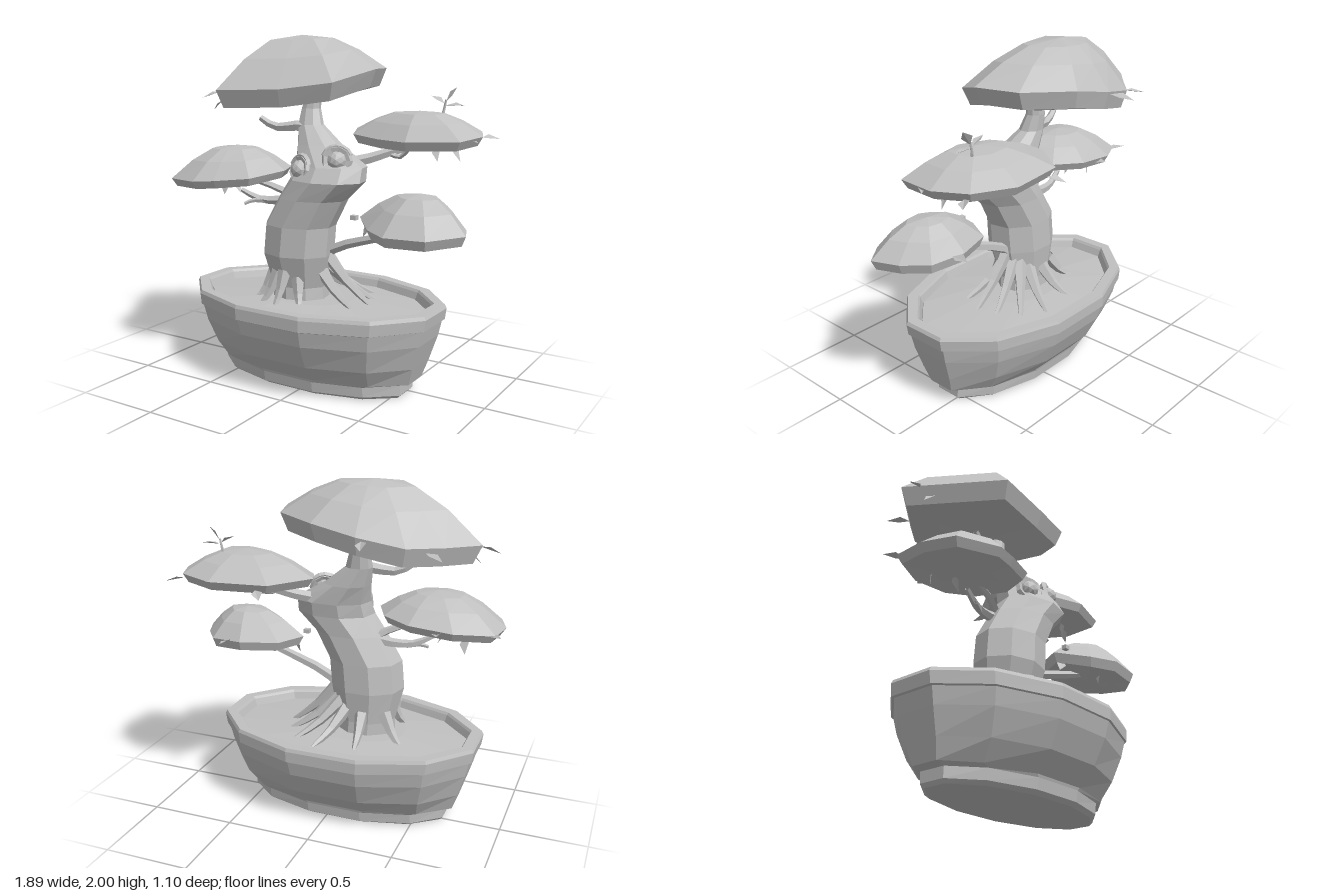
import * as THREE from 'three';

const grey = new THREE.MeshStandardMaterial({ color: 0xc0c0c0, flatShading: true, side: THREE.DoubleSide });
grey.name = 'plain grey';

function add(group, name, geometry) {
  const mesh = new THREE.Mesh(geometry, grey);
  mesh.name = name;
  group.add(mesh);
  return mesh;
}

// Skin through rings of equal length, listed from bottom to top, with closed ends
function loft(rings) {
  const n = rings[0].length, pos = rings.flat(2), index = [];
  for (let k = 0; k < rings.length - 1; k++) {
    for (let i = 0; i < n; i++) {
      const a = k * n + i, b = k * n + (i + 1) % n;
      index.push(a, a + n, b, b, a + n, b + n);
    }
  }
  const top = (rings.length - 1) * n;
  for (let i = 1; i < n - 1; i++) index.push(0, i, i + 1, top, top + i + 1, top + i);
  const g = new THREE.BufferGeometry();
  g.setAttribute('position', new THREE.Float32BufferAttribute(pos, 3));
  g.setIndex(index);
  g.computeVertexNormals();
  return g;
}

function ellipse(x, y, z, rx, rz, n, turn) {
  return Array.from({ length: n }, (_, i) => {
    const a = turn + i / n * Math.PI * 2;
    return [x + rx * Math.cos(a), y, z + rz * Math.sin(a)];
  });
}

// Tapered limb along a few points
function limb(points, r0, r1, sides = 5) {
  const curve = new THREE.CatmullRomCurve3(points.map(p => new THREE.Vector3(...p)));
  const segs = (points.length - 1) * 2;
  const g = new THREE.TubeGeometry(curve, segs, 1, sides);
  const p = g.attributes.position, v = new THREE.Vector3();
  for (let i = 0; i < p.count; i++) {
    const t = Math.floor(i / (sides + 1)) / segs, c = curve.getPointAt(t);
    v.fromBufferAttribute(p, i).sub(c).multiplyScalar(r0 + (r1 - r0) * t).add(c);
    p.setXYZ(i, v.x, v.y, v.z);
  }
  return g;
}

// Domed leaf pad: faceted crown above the rim, shallow inset underside
function pad(rim, apex, drop) {
  const toward = (t, yOf) => rim.map(([x, y, z]) => [x + (apex[0] - x) * t, yOf(y), z + (apex[2] - z) * t]);
  const rise = h => y => y + (apex[1] - y) * h;
  const low = Math.min(...rim.map(p => p[1])) - drop;
  return loft([
    toward(0.999, () => low + drop * 0.35),
    toward(0.5, y => low + (y - low - drop) * 0.4 + drop * 0.15),
    toward(0.08, y => y - drop),
    rim,
    toward(0.32, rise(0.55)),
    toward(0.62, rise(0.9)),
    toward(0.999, rise(1)),
  ]);
}

// Folded diamond leaf from its base point toward its tip
function leaf(base, tip, width) {
  const a = new THREE.Vector3(...base), b = new THREE.Vector3(...tip);
  const dir = b.clone().sub(a);
  const side = new THREE.Vector3().crossVectors(dir, new THREE.Vector3(0.3, 1, 0.2)).setLength(width / 2);
  const mid = a.clone().lerp(b, 0.45);
  const l = mid.clone().add(side), r = mid.clone().sub(side);
  l.y += 0.01;
  r.y += 0.01;
  const g = new THREE.BufferGeometry().setFromPoints([a, b, l, a, r, b]);
  g.computeVertexNormals();
  return g;
}

export function createModel() {
  const model = new THREE.Group();
  model.name = 'bonsaiTree';

  // Twelve-sided oval pot: foot, bowl, rim and inner wall in one skin
  const potRings = [
    [0, 0.61, 0.27], [0.02, 0.63, 0.3], [0.08, 0.63, 0.31], [0.095, 0.685, 0.315],
    [0.2, 0.72, 0.41], [0.34, 0.765, 0.48], [0.43, 0.785, 0.505],
    [0.435, 0.8, 0.515], [0.5, 0.81, 0.517], [0.52, 0.8, 0.51],
    [0.52, 0.74, 0.45], [0.505, 0.73, 0.44], [0.45, 0.71, 0.425],
  ];
  add(model, 'pot', loft(potRings.map(([y, rx, rz]) =>
    ellipse(-0.055, y, 0.055, rx, rz, 12, Math.PI / 12))));

  // Soil mound
  add(model, 'soil', loft([
    ellipse(-0.055, 0.445, 0.055, 0.72, 0.435, 12, Math.PI / 12),
    ellipse(-0.055, 0.465, 0.055, 0.71, 0.425, 12, Math.PI / 12),
    ellipse(-0.1, 0.49, 0.06, 0.3, 0.22, 12, Math.PI / 12),
  ]));

  // Bent trunk narrowing to a crooked tip
  const trunkRings = [
    [-0.14, 0.46, 0.08, 0.18, 0.15], [-0.145, 0.56, 0.08, 0.175, 0.145],
    [-0.145, 0.75, 0.1, 0.22, 0.185], [-0.13, 0.92, 0.1, 0.22, 0.18],
    [-0.04, 1.08, 0.1, 0.215, 0.17], [0.055, 1.19, 0.1, 0.235, 0.17],
    [0.06, 1.27, 0.07, 0.225, 0.15], [-0.04, 1.38, 0.03, 0.14, 0.11],
    [-0.12, 1.49, 0, 0.08, 0.065], [-0.13, 1.58, -0.02, 0.06, 0.05],
    [-0.1, 1.72, -0.03, 0.035, 0.035],
  ];
  add(model, 'trunk', loft(trunkRings.map(([x, y, z, rx, rz]) => ellipse(x, y, z, rx, rz, 9, 0.2))));

  // Eyes with raised bark sockets and heavy brows
  for (const [x, y, z, turn] of [[-0.07, 1.25, 0.185, -0.35], [0.15, 1.31, 0.15, 0.4]]) {
    const eye = new THREE.Group();
    eye.name = 'eye';
    add(eye, 'eyeSocket', new THREE.TorusGeometry(0.07, 0.02, 5, 9));
    add(eye, 'eyeball', new THREE.IcosahedronGeometry(0.055, 1));
    add(eye, 'brow', new THREE.TorusGeometry(0.078, 0.018, 5, 6, 2.4)).rotation.z = 0.4;
    eye.position.set(x, y, z);
    eye.rotation.set(-0.2, turn, 0, 'YXZ');
    model.add(eye);
  }

  // Branches
  const branches = [
    [[[-0.02, 0.72, 0.04], [0.1, 0.8, 0.06], [0.5, 0.93, 0.1], [0.6, 0.98, 0.1]], 0.032, 0.02],
    [[[0.14, 1.28, 0], [0.25, 1.31, -0.06], [0.37, 1.355, -0.13], [0.47, 1.38, -0.2], [0.52, 1.46, -0.2]], 0.035, 0.018],
    [[[0.34, 1.34, -0.11], [0.4, 1.32, -0.12], [0.46, 1.36, -0.1]], 0.018, 0.01],
    [[[-0.07, 1.46, 0], [-0.15, 1.48, 0.03], [-0.33, 1.47, 0.06], [-0.42, 1.52, 0.08]], 0.04, 0.018],
    [[[-0.18, 1.06, 0.06], [-0.28, 1.04, 0.07], [-0.42, 1.04, 0.1], [-0.53, 1.09, 0.13]], 0.035, 0.015],
    [[[-0.38, 1.03, 0.09], [-0.45, 1.03, 0.13], [-0.49, 1.01, 0.16]], 0.018, 0.01],
    [[[-0.2, 1.07, 0.06], [-0.3, 1.12, 0.1], [-0.48, 1.17, 0.14]], 0.025, 0.015],
  ];
  for (const [points, r0, r1] of branches) add(model, 'branch', limb(points, r0, r1));

  // Roots: start, then tip on the soil
  const roots = [
    [[-0.28, 0.62, 0.15], [-0.36, 0.46, 0.24]], [[-0.2, 0.65, 0.22], [-0.27, 0.46, 0.31]],
    [[-0.15, 0.66, 0.23], [-0.16, 0.46, 0.33]], [[-0.08, 0.62, 0.2], [-0.02, 0.46, 0.28]],
    [[0, 0.68, 0.1], [0.26, 0.48, 0.17]], [[0.02, 0.76, 0.06], [0.32, 0.47, 0.04]],
    [[0, 0.7, 0.03], [0.28, 0.47, -0.08]], [[-0.02, 0.68, 0], [0.2, 0.47, -0.2]],
    [[-0.06, 0.64, -0.03], [0.06, 0.47, -0.28]], [[-0.16, 0.62, -0.05], [-0.18, 0.47, -0.24]],
    [[-0.28, 0.62, 0], [-0.42, 0.46, -0.1]],
  ];
  for (const [a, b] of roots) {
    const mid = [0, 1, 2].map(i => a[i] + (b[i] - a[i]) * 0.5);
    mid[1] -= 0.025;
    add(model, 'root', limb([a, mid, b], 0.042, 0.012));
  }

  // Leaf pads, rim corners going round from +x toward +z
  add(model, 'topPad', pad([
    [0.32, 1.81, 0.02], [0.18, 1.74, 0.25], [-0.12, 1.7, 0.33], [-0.5, 1.69, 0.39], [-0.83, 1.69, -0.11],
    [-0.67, 1.69, -0.24], [-0.5, 1.7, -0.38], [-0.25, 1.75, -0.43], [0, 1.8, -0.41], [0.25, 1.81, -0.23],
  ], [-0.24, 2, -0.1], 0.1));
  add(model, 'rightLowPad', pad([
    [-0.2, 1.23, 0.15], [-0.3, 1.2, 0.36], [-0.5, 1.18, 0.43], [-0.63, 1.17, 0.46], [-0.87, 1.16, 0.37],
    [-0.93, 1.17, 0.18], [-0.91, 1.18, -0.02], [-0.7, 1.2, -0.13], [-0.45, 1.22, -0.13], [-0.28, 1.23, -0.03],
  ], [-0.54, 1.36, 0.15], 0.045));
  add(model, 'leftHighPad', pad([
    [0.86, 1.45, -0.2], [0.83, 1.44, 0.04], [0.55, 1.43, 0.12], [0.34, 1.43, 0.04], [0.13, 1.44, -0.06],
    [0.06, 1.46, -0.23], [0.23, 1.46, -0.46], [0.56, 1.46, -0.5], [0.78, 1.46, -0.39],
  ], [0.5, 1.58, -0.16], 0.05));
  add(model, 'leftLowPad', pad([
    [0.94, 0.98, 0.19], [0.78, 0.96, 0.33], [0.55, 0.96, 0.36], [0.41, 0.97, 0.27], [0.27, 1.0, 0.1],
    [0.36, 1.0, -0.07], [0.58, 1.0, -0.14], [0.78, 0.99, -0.1], [0.88, 0.98, 0.04],
  ], [0.63, 1.16, 0.08], 0.055));

  // Sprig standing on the left high pad
  add(model, 'sprig', limb([[0.6, 1.53, -0.23], [0.61, 1.59, -0.24], [0.62, 1.64, -0.24]], 0.01, 0.006));
  add(model, 'twigStub', new THREE.BoxGeometry(0.035, 0.025, 0.03)).position.set(0.28, 1.01, 0.18);

  // Loose leaves: base, tip
  const leaves = [
    [[0.62, 1.63, -0.24], [0.68, 1.71, -0.25]], [[0.61, 1.62, -0.24], [0.53, 1.66, -0.24]],
    [[0.62, 1.61, -0.24], [0.73, 1.61, -0.24]],
    [[-0.72, 1.62, 0.05], [-0.8, 1.55, 0.05]], [[-0.79, 1.66, 0], [-0.9, 1.62, 0.04]],
    [[-0.28, 1.73, -0.42], [-0.32, 1.71, -0.55]], [[-0.58, 1.67, -0.3], [-0.69, 1.65, -0.38]],
    [[-0.72, 1.13, 0.05], [-0.73, 1.03, 0.05]], [[-0.86, 1.17, 0], [-0.95, 1.19, -0.08]],
    [[-0.62, 1.15, 0.1], [-0.56, 1.06, 0.1]], [[-0.6, 1.18, -0.08], [-0.62, 1.19, -0.17]],
    [[0.62, 1.39, -0.1], [0.64, 1.31, -0.1]], [[0.7, 1.4, -0.15], [0.75, 1.31, -0.16]],
    [[0.79, 1.43, -0.36], [0.87, 1.42, -0.43]], [[0.3, 1.43, -0.46], [0.24, 1.4, -0.54]],
    [[0.8, 1.45, -0.1], [0.86, 1.42, -0.14]],
    [[0.58, 0.93, 0.2], [0.58, 0.87, 0.2]], [[0.33, 0.95, 0.12], [0.3, 0.89, 0.12]],
    [[0.65, 1.0, -0.12], [0.66, 1.01, -0.24]],
  ];
  for (const [base, tip] of leaves) add(model, 'leaf', leaf(base, tip, 0.06));

  return model;
}
